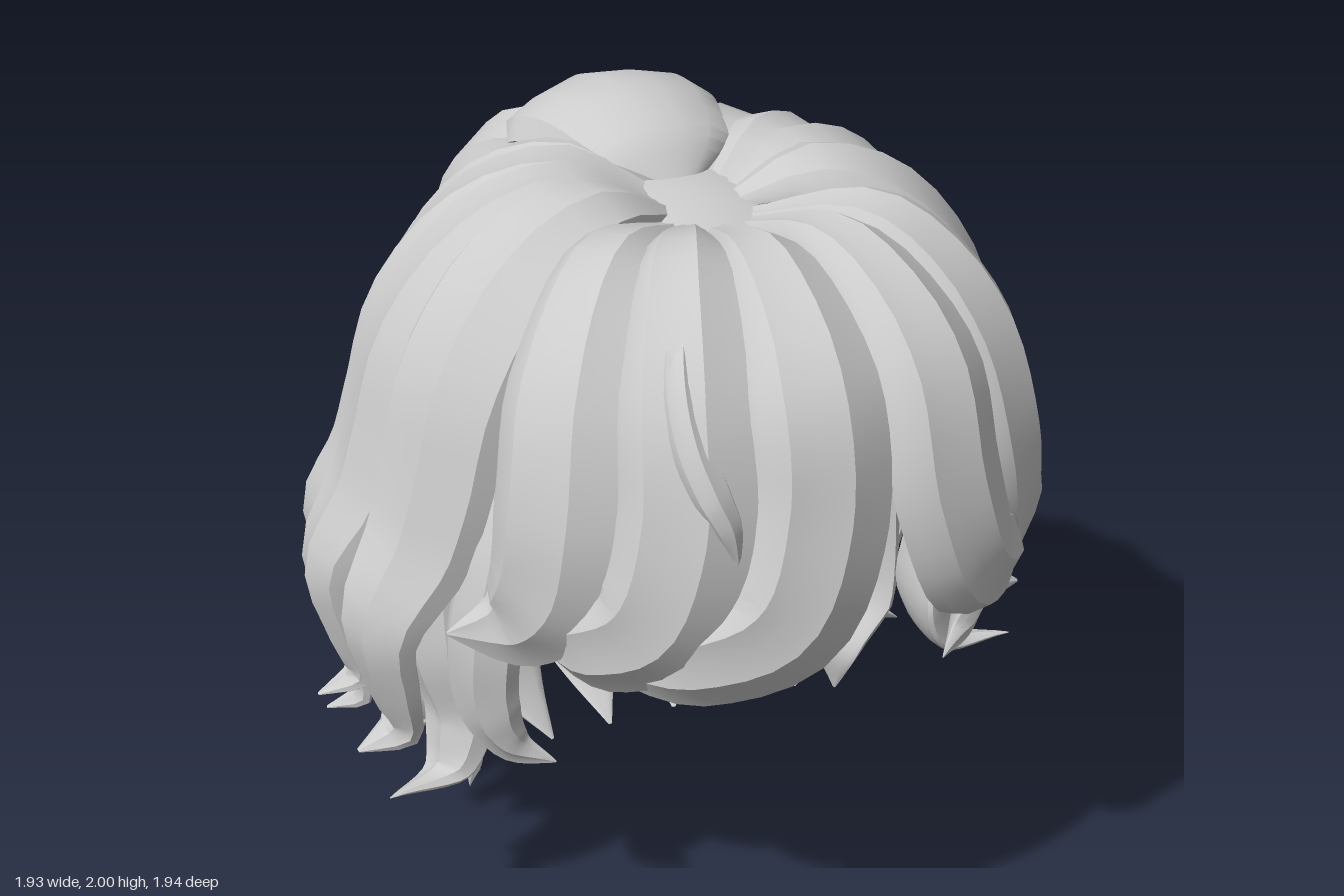
import * as THREE from 'three';
import { toCreasedNormals } from 'three/addons/utils/BufferGeometryUtils.js';

const hair = new THREE.MeshStandardMaterial({ color: 0xcccccc });
hair.name = 'lightGreyHair';
hair.side = THREE.DoubleSide;

// Width profiles along a lock, root to tip
const LONG = [0.15, 0.65, 0.95, 1.02, 1, 0.92, 0.7, 0.55, 0.38, 0.03];
const SWEPT = [0.15, 0.65, 0.95, 1, 0.95, 0.7, 0.03];
const HANGING = [0.25, 0.9, 1.05, 1, 0.62, 0.03];
const CROWN = [0.1, 0.7, 0.9, 1, 0.96, 0.75, 0.05];

const V = (p) => new THREE.Vector3(...p);

function sample(list, t) {
  const s = t * (list.length - 1), i = Math.min(Math.floor(s), list.length - 2);
  return THREE.MathUtils.lerp(list[i], list[i + 1], s - i);
}

// Tapered lock swept along a path, wrapped around the head, with ridges on its outer face
function lock(name, points, w, t, profile, ridge = 0.1) {
  const curve = new THREE.CatmullRomCurve3(points.map(V));
  const steps = 28, sides = 14, pos = [], idx = [];
  const N = new THREE.Vector3();
  for (let i = 0; i <= steps; i++) {
    const u = i / steps, p = curve.getPoint(u), T = curve.getTangent(u);
    const out = new THREE.Vector3(p.x, Math.max(p.y - 1.1, 0), p.z).normalize();
    // Carry the outward direction along the path so that curled tips do not twist
    N.addScaledVector(out, 0.3);
    N.addScaledVector(T, -N.dot(T)).normalize();
    const B = new THREE.Vector3().crossVectors(T, N);
    const k = sample(profile, u), half = w * k, thick = t * Math.min(1, k * 1.15);
    for (let j = 0; j < sides; j++) {
      const a = (j / sides) * Math.PI * 2, c = Math.cos(a), s = Math.sin(a);
      const rise = s > 0 ? Math.pow(s, 0.8) * (1 + ridge * Math.cos(j * Math.PI)) : s * 0.4;
      const q = p.clone().addScaledVector(B, half * c)
        .addScaledVector(N, rise * thick - (half * half * c * c) / 1.6);
      pos.push(q.x, q.y, q.z);
      if (i < steps) {
        const m = i * sides + j, n = i * sides + ((j + 1) % sides);
        idx.push(m, m + sides, n, n, m + sides, n + sides);
      }
    }
  }
  // Close both ends
  for (let j = 1; j < sides - 1; j++) {
    const e = steps * sides;
    idx.push(0, j, j + 1, e, e + j + 1, e + j);
  }
  const g = new THREE.BufferGeometry();
  g.setAttribute('position', new THREE.Float32BufferAttribute(pos, 3));
  g.setIndex(idx);
  const mesh = new THREE.Mesh(toCreasedNormals(g, 0.5), hair);
  mesh.name = name;
  return mesh;
}

// Turn a radius/height profile into a path at an angle (degrees from the front)
function around(profile, deg, twist = 0) {
  return profile.map(([r, y], i) => {
    const u = i / (profile.length - 1);
    const a = THREE.MathUtils.degToRad(deg + twist * u * u);
    return [Math.sin(a) * r, y, Math.cos(a) * r + 0.1 * Math.max(0, 1 - r)];
  });
}

const UPPER = [[0.08, 1.81], [0.3, 1.86], [0.52, 1.75], [0.68, 1.54], [0.75, 1.3],
  [0.8, 1.14], [0.9, 0.96], [0.87, 0.77], [0.85, 0.64], [0.96, 0.59]];
// Lock beside the middle of the back, coming out from under the crown
const BACK = [[0.1, 1.8, -0.2], [0.14, 1.85, -0.42], [0.18, 1.75, -0.6], [0.2, 1.52, -0.71],
  [0.2, 1.28, -0.75], [0.21, 1.12, -0.81], [0.22, 0.94, -0.885], [0.23, 0.76, -0.86],
  [0.22, 0.61, -0.83], [0.26, 0.52, -0.93]];

// Stretch the part below the ears so that the tip ends at a given height; sink tucks the top in
const reach = (tip, sink = 0) => UPPER.map(([r, y], i) =>
  [r - (i > 1 ? sink * (i < 5 ? 1 : 0.5) : 0), y > 1.3 ? y - sink : 1.3 - (1.3 - y) * (1.3 - tip) / 0.71]);

// Nape profile: bulge is its fullness, lift the height of its tip
const nape = (bulge, lift) => [[0.6, 1.45], [0.7 * bulge, 1.1], [0.75 * bulge, 0.74 + lift / 2],
  [0.75 * bulge, 0.4 + lift / 2], [0.66 * bulge, 0.16 + lift], [0.5 + lift / 2, 0.01 + lift]];

function createModel() {
  const group = new THREE.Group();
  group.name = 'hairstyle';

  // Scalp under the locks
  const cap = new THREE.Mesh(new THREE.SphereGeometry(0.67, 32, 12, 0, Math.PI * 2, 0, 1.4), hair);
  cap.scale.y = 1.13;
  cap.position.y = 1.1;
  cap.name = 'scalp';
  group.add(cap);

  // Crown lock over the back of the head
  group.add(lock('crownLock', [[0, 1.83, 0.03], [0, 1.88, -0.08], [0, 1.92, -0.26], [0, 1.9, -0.4],
    [0, 1.83, -0.52], [0, 1.74, -0.59], [0, 1.64, -0.62]], 0.28, 0.09, CROWN, 0.04));

  for (const side of [1, -1]) {
    const tag = side > 0 ? 'left' : 'right';
    const flip = (path) => path.map(([x, y, z]) => [x * side, y, z]);

    // Broad outer locks: angle, half width, tip height, twist
    for (const [deg, w, tip, twist] of [[75, 0.19, 0.58, 5], [99, 0.18, 0.58, -2],
      [118, 0.2, 0.55, 4], [140, 0.22, 0.5, -3]]) {
      group.add(lock(tag + 'OuterLock', flip(around(reach(tip), deg, twist)), w, 0.085, LONG));
    }
    group.add(lock(tag + 'BackLock', flip(BACK), 0.22, 0.08, LONG));
    // Narrow locks between them
    for (const [deg, tip, twist] of [[108, 0.38, 4], [129, 0.33, -4], [153, 0.38, 4]]) {
      group.add(lock(tag + 'InnerLock', flip(around(reach(tip, 0.05), deg, twist)), 0.13, 0.07, LONG));
    }
    // Long locks of the nape
    for (const [deg, lift, bulge] of [[107, 0.16, 0.86], [120, 0.12, 0.88], [136, 0.06, 0.93], [158, 0.02, 1]]) {
      group.add(lock(tag + 'NapeLock', flip(around(nape(bulge, lift), deg)), 0.17, 0.055, HANGING));
    }
    // Short locks in front of and below the ear
    group.add(lock(tag + 'TempleLock', flip([[0.56, 1.45, 0.36], [0.64, 1.15, 0.38], [0.68, 0.95, 0.37],
      [0.67, 0.76, 0.35], [0.62, 0.64, 0.38], [0.54, 0.6, 0.45]]), 0.1, 0.06, HANGING));
    group.add(lock(tag + 'EarLock', flip([[0.64, 1.35, 0.1], [0.7, 1.05, 0.1], [0.71, 0.8, 0.11],
      [0.66, 0.58, 0.13], [0.72, 0.45, 0.17], [0.89, 0.46, 0.23]]), 0.13, 0.07, HANGING));
    group.add(lock(tag + 'EarLock', flip([[0.64, 1.35, -0.1], [0.69, 1.0, -0.13], [0.69, 0.75, -0.16],
      [0.64, 0.52, -0.18], [0.65, 0.39, -0.18], [0.76, 0.34, -0.14]]), 0.12, 0.06, HANGING));
  }

  // Middle nape lock
  group.add(lock('middleNapeLock', around(nape(1.02, 0), 180), 0.17, 0.055, HANGING));

  // Swept fringe, parted just left of the middle
  const fringe = [
    ['middleFringe', 0.17, 0.08, [[0, 1.78, 0.18], [-0.02, 1.81, 0.5], [-0.05, 1.63, 0.79],
      [-0.07, 1.36, 0.87], [-0.16, 1.13, 0.88], [-0.36, 1.02, 0.78], [-0.55, 1.0, 0.65]]],
    ['rightFringe', 0.17, 0.08, [[-0.05, 1.79, 0.18], [-0.2, 1.82, 0.45], [-0.31, 1.62, 0.69],
      [-0.35, 1.35, 0.78], [-0.42, 1.13, 0.76], [-0.53, 1.03, 0.64], [-0.6, 0.99, 0.5]]],
    ['rightOuterFringe', 0.17, 0.08, [[-0.08, 1.79, 0.16], [-0.34, 1.82, 0.36], [-0.51, 1.61, 0.53],
      [-0.57, 1.35, 0.6], [-0.6, 1.16, 0.58], [-0.66, 1.05, 0.5], [-0.8, 1.03, 0.45]]],
    ['rightThinFringe', 0.05, 0.05, [[-0.12, 1.8, 0.4], [-0.26, 1.77, 0.56], [-0.33, 1.66, 0.69],
      [-0.34, 1.55, 0.77], [-0.32, 1.46, 0.82], [-0.29, 1.38, 0.85], [-0.27, 1.28, 0.87]]],
    ['leftFringe', 0.16, 0.08, [[0.07, 1.78, 0.18], [0.18, 1.82, 0.48], [0.25, 1.63, 0.75],
      [0.27, 1.37, 0.84], [0.35, 1.15, 0.83], [0.52, 1.04, 0.68], [0.68, 0.96, 0.5]]],
    ['leftOuterFringe', 0.17, 0.08, [[0.08, 1.79, 0.16], [0.32, 1.83, 0.4], [0.47, 1.62, 0.58],
      [0.53, 1.36, 0.65], [0.57, 1.17, 0.62], [0.63, 1.05, 0.53], [0.69, 0.95, 0.43]]],
  ];
  for (const [name, w, t, path] of fringe) group.add(lock(name, path, w, t, SWEPT));

  // Stand on the ground, centred
  const box = new THREE.Box3().setFromObject(group, true);
  const mid = box.getCenter(new THREE.Vector3());
  group.position.set(-mid.x, -box.min.y, -mid.z);
  return group;
}

export { createModel };
